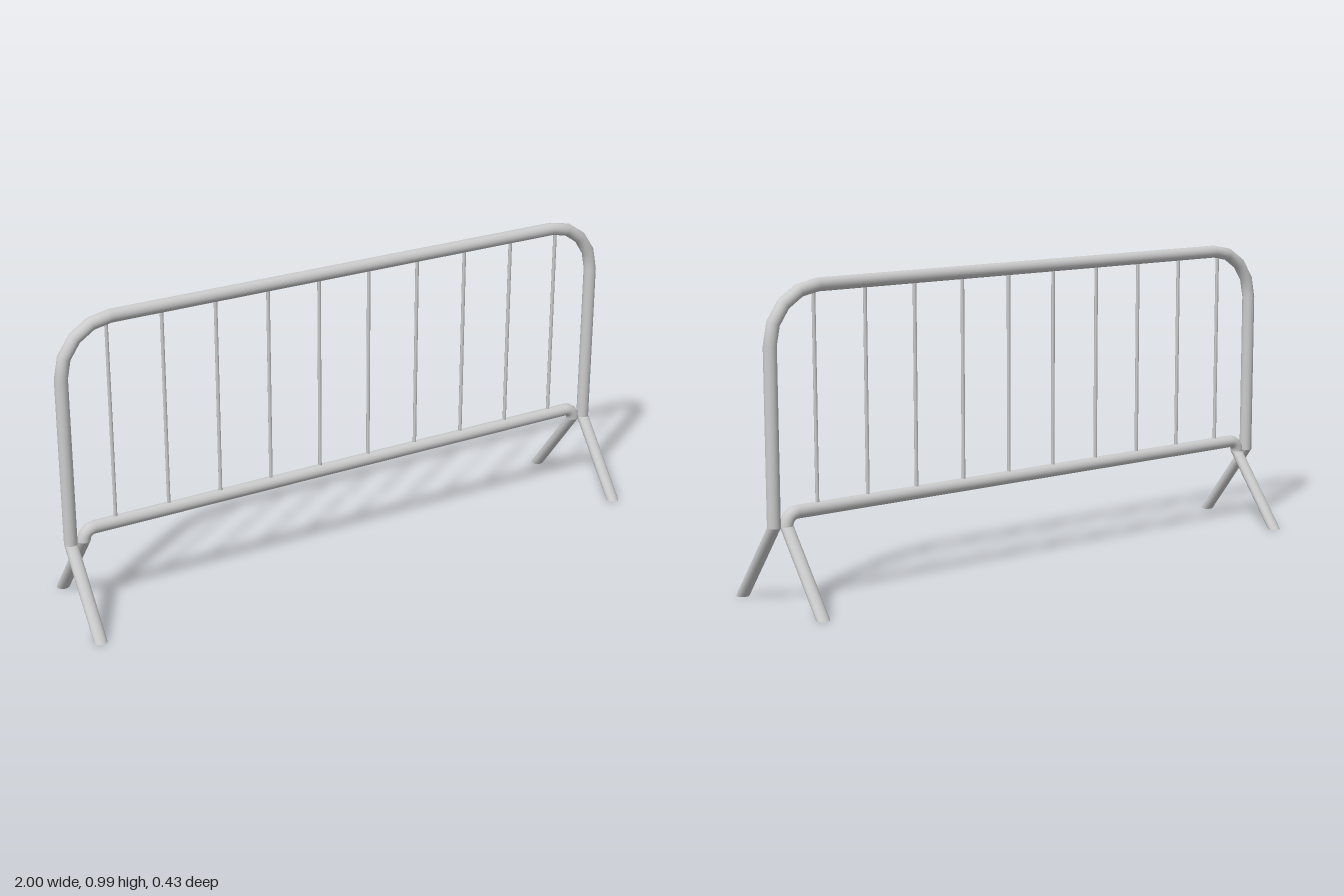
import * as THREE from 'three';

const R = 0.021;      // frame tube radius
const SIDES = 16;
const KINK = 0.25;    // height where the legs splay out
const material = new THREE.MeshStandardMaterial({ color: 0xcccccc });

// Skin a list of rings; each ring is a circle at (x, y, z) tilted by angle in the xy plane
function skin(rings) {
  const pos = [], index = [];
  rings.forEach(({ x, y, z, angle }, i) => {
    for (let j = 0; j < SIDES; j++) {
      const a = (j / SIDES) * Math.PI * 2, c = Math.cos(a) * R;
      pos.push(x + c * Math.cos(angle), y + c * Math.sin(angle), z + Math.sin(a) * R);
      if (i === 0) continue;
      const k = (j + 1) % SIDES, p = (i - 1) * SIDES, q = i * SIDES;
      index.push(p + j, q + j, p + k, p + k, q + j, q + k);
    }
  });
  const geo = new THREE.BufferGeometry();
  geo.setAttribute('position', new THREE.Float32BufferAttribute(pos, 3));
  geo.setIndex(index);
  geo.computeVertexNormals();
  return geo;
}

// Bent tube: two posts, rounded corners and a rail, with both legs splayed to footZ
function bentFrame(name, halfWidth, railY, bend, steps, footZ) {
  const group = new THREE.Group();
  group.name = name;
  const add = (part, geo) => {
    const mesh = new THREE.Mesh(geo, material);
    mesh.name = part;
    group.add(mesh);
    return mesh;
  };

  const path = [{ x: halfWidth, y: KINK, z: 0, angle: 0 }];
  for (const side of [1, -1]) {
    for (let i = 0; i <= steps; i++) {
      const angle = (i / steps) * Math.PI / 2 + (side < 0 ? Math.PI / 2 : 0);
      path.push({
        x: side * (halfWidth - bend) + bend * Math.cos(angle),
        y: railY - bend + bend * Math.sin(angle),
        z: 0, angle,
      });
    }
  }
  path.push({ x: -halfWidth, y: KINK, z: 0, angle: Math.PI });
  add('rail', skin(path));

  // Legs are sheared tubes, cut level with the ground
  for (const x of [halfWidth, -halfWidth]) {
    add('leg', skin([
      { x, y: 0, z: footZ, angle: 0 },
      { x, y: KINK, z: 0, angle: 0 },
    ]));
    const cap = add('footCap', new THREE.CircleGeometry(R, SIDES));
    cap.rotation.x = Math.PI / 2;
    cap.position.set(x, 0, footZ);
  }
  return group;
}

export function createModel() {
  const model = new THREE.Group();
  model.name = 'crowdBarrier';

  model.add(bentFrame('outerFrame', 0.979, 0.969, 0.17, 4, 0.195));
  model.add(bentFrame('lowerFrame', 0.935, 0.288, 0.036, 4, -0.195));

  // Upright bars between the rails
  const count = 10, bottom = 0.288, top = 0.969;
  const barGeo = new THREE.CylinderGeometry(0.006, 0.006, top - bottom, 8, 1, true);
  for (let i = 0; i < count; i++) {
    const bar = new THREE.Mesh(barGeo, material);
    bar.name = 'uprightBar';
    bar.position.set(-0.825 + (i * 1.65) / (count - 1), (top + bottom) / 2, 0);
    model.add(bar);
  }
  return model;
}
